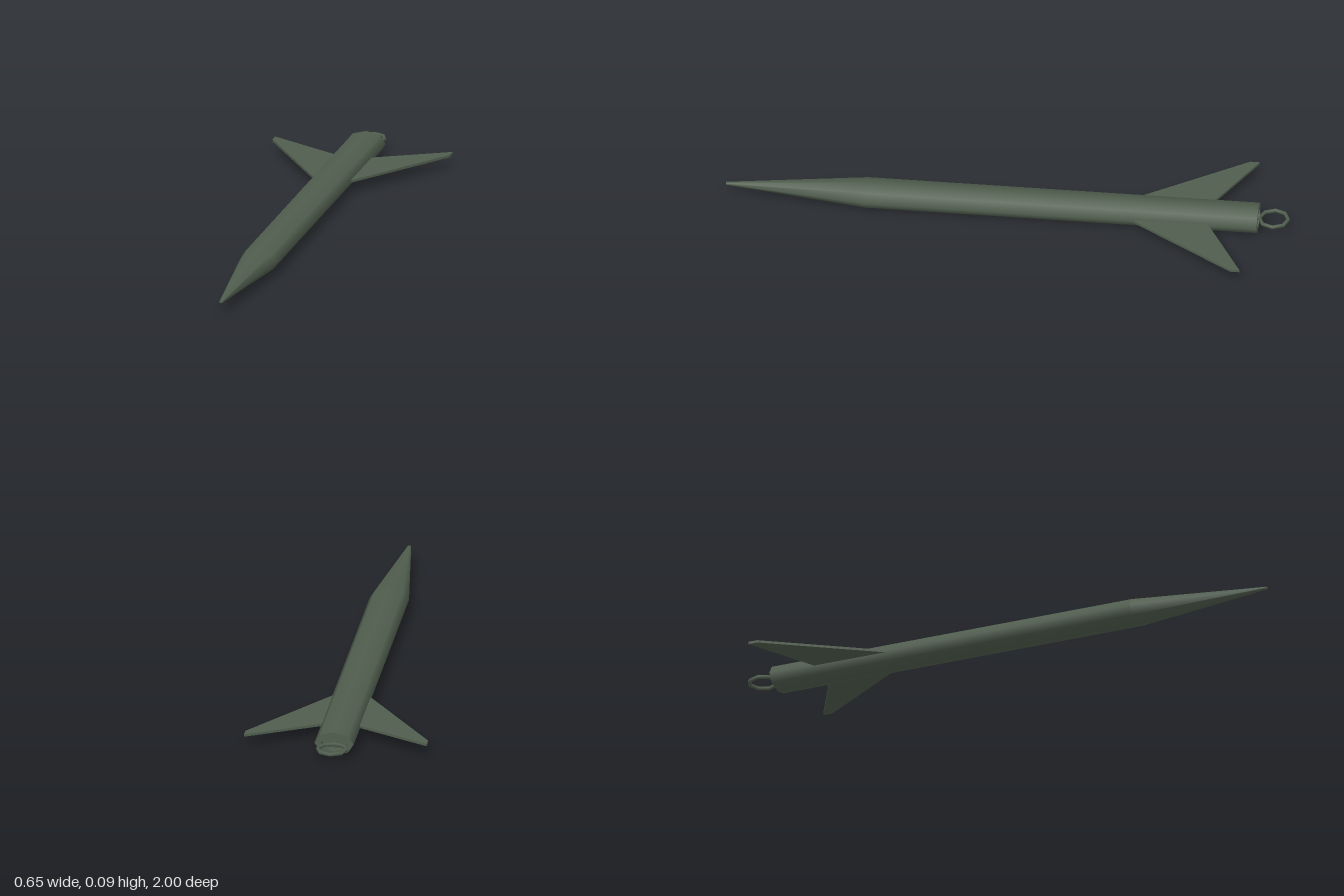
import * as THREE from 'three';

const CY = 0.0443; // height of the long axis
const RX = 0.07, RY = 0.0435; // half width and half height of the oval body

export function createModel() {
  const model = new THREE.Group();
  const paint = new THREE.MeshStandardMaterial({ color: 0x505e4e });

  const add = (name, geometry, parent = model) => {
    const mesh = new THREE.Mesh(geometry, paint);
    mesh.name = name;
    parent.add(mesh);
    return mesh;
  };

  // One eight-sided band of the oval body, from (radius, z) to (radius, z)
  const band = (name, r0, z0, r1, z1) => {
    const points = [new THREE.Vector2(r0, z0), new THREE.Vector2(r1, z1)];
    const geometry = new THREE.LatheGeometry(points, 8);
    geometry.rotateX(Math.PI / 2).scale(RX, RY, 1).translate(0, CY, 0);
    add(name, geometry);
  };

  // Body, from the recessed tail forward to the blunt nose tip
  band('tailRecessFloor', 0, -0.86, 0.68, -0.86);
  band('tailRecessWall', 0.68, -0.86, 0.68, -0.888);
  band('tailRim', 0.68, -0.888, 1, -0.888);
  band('body', 1, -0.888, 1, 0.5);
  band('noseCone', 1, 0.5, 0.1, 1);
  band('noseTip', 0.1, 1, 0, 1);

  // Swept tail fins, mirrored left and right
  const outline = [[0.03, -0.39], [0.325, -0.822], [0.325, -0.856], [0.03, -0.697]];
  for (const side of [1, -1]) {
    const shape = new THREE.Shape(outline.map(([x, z]) => new THREE.Vector2(side * x, -z)));
    const fin = new THREE.ExtrudeGeometry(shape, { depth: 0.009, bevelEnabled: false });
    fin.rotateX(-Math.PI / 2).translate(0, CY - 0.0045, 0);
    add(side > 0 ? 'leftFin' : 'rightFin', fin);
  }

  // Tail ring lying flat, held by a short stem in the recess
  const ring = new THREE.TorusGeometry(0.051, 0.007, 6, 8);
  ring.rotateX(Math.PI / 2).translate(0, CY, -0.942);
  add('tailRing', ring);
  const stem = new THREE.CylinderGeometry(0.006, 0.006, 0.034, 6);
  stem.rotateX(Math.PI / 2).translate(0, CY, -0.875);
  add('ringStem', stem);

  return model;
}
